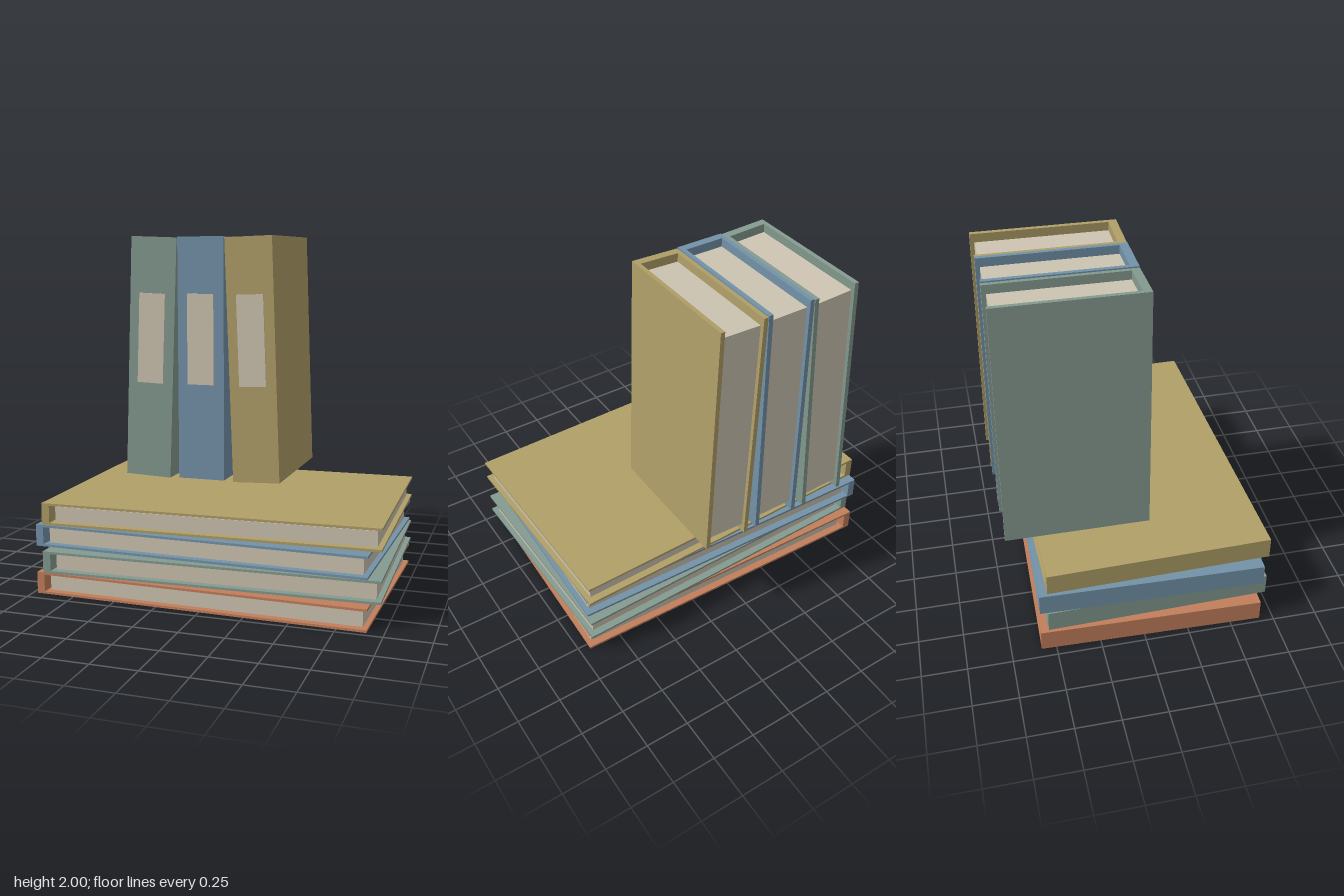
import * as THREE from 'three';

const mat = (name, color) => {
  const m = new THREE.MeshStandardMaterial({ color });
  m.name = name;
  return m;
};

// Box given by its minimum and maximum corners
function addBox(group, name, material, [x0, y0, z0], [x1, y1, z1]) {
  const mesh = new THREE.Mesh(new THREE.BoxGeometry(x1 - x0, y1 - y0, z1 - z0), material);
  mesh.position.set((x0 + x1) / 2, (y0 + y1) / 2, (z0 + z1) / 2);
  mesh.name = name;
  group.add(mesh);
}

// Book lying flat, spine at -x, standing on its own y = 0
function flatBook(cover, paper) {
  const g = new THREE.Group();
  const L = 0.9425, W = 0.628, T = 0.123, c = 0.013;
  addBox(g, 'bottomCover', cover, [-L, 0, -W], [L, c, W]);
  addBox(g, 'topCover', cover, [-L, T - c, -W], [L, T, W]);
  addBox(g, 'spine', cover, [-L, c, -W], [-L + 0.045, T - c, W]);
  addBox(g, 'pages', paper, [-0.88, c, -0.586], [0.914, 0.097, 0.586]);
  return g;
}

// Book standing upright, spine at +z, centred on its own origin
function uprightBook(cover, paper) {
  const g = new THREE.Group();
  const W = 0.14, H = 0.705, D = 0.4025, c = 0.025, s = 0.047;
  for (const [name, x] of [['rightCover', -W], ['leftCover', W - c]])
    addBox(g, name, cover, [x, -H, -D], [x + c, H, D]);
  addBox(g, 'spine', cover, [-W + c, -H, D - s], [W - c, H, D]);
  addBox(g, 'pages', paper, [-W + c, -H + 0.05, -D + 0.023], [W - c, H - 0.05, D - s]);
  addBox(g, 'spineLabel', paper, [-0.08, -0.145, D], [0.08, 0.38, D + 0.008]);
  return g;
}

export function createModel() {
  const model = new THREE.Group();
  model.name = 'bookStack';
  const paper = mat('paper', 0xcdc4b1);
  const orange = mat('terracotta', 0xc27e5b);
  const green = mat('sageGreen', 0x849a8f);
  const blue = mat('dustyBlue', 0x7392a8);
  const ochre = mat('ochre', 0xb09f68);

  // Flat stack, alternately twisted
  [orange, green, blue, ochre].forEach((cover, i) => {
    const side = i % 2 ? 1 : -1;
    const book = flatBook(cover, paper);
    book.name = `flatBook${i + 1}`;
    book.position.set(side * 0.0165, i * 0.1377, 0.067);
    book.rotation.y = side * 0.024;
    model.add(book);
  });

  // Upright row, outer books leaning inward
  [green, blue, ochre].forEach((cover, i) => {
    const book = uprightBook(cover, paper);
    book.name = `uprightBook${i + 1}`;
    book.position.set(-0.199 + (i - 1) * 0.31, 1.29, -0.318);
    book.rotation.z = (i - 1) * 0.037;
    model.add(book);
  });
  return model;
}
